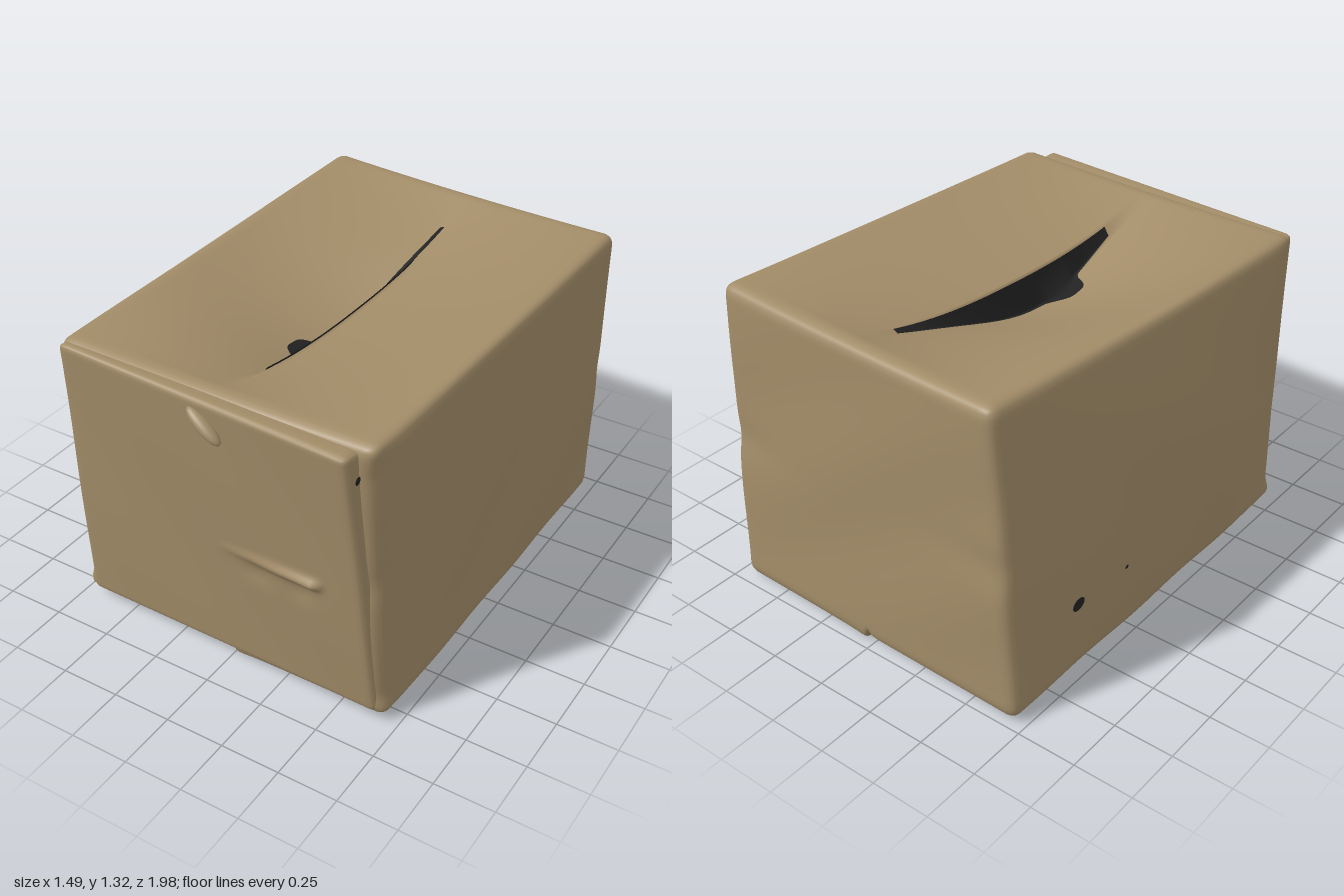
import * as THREE from 'three';
import { mergeVertices } from 'three/addons/utils/BufferGeometryUtils.js';

const clamp = THREE.MathUtils.clamp;
const lerp = THREE.MathUtils.lerp;
const NX = 64; // columns across the box; the seam lies on the middle one

// Blend eight corners, ordered back -x, back +x, front -x, front +x
function blend(low, high, u, v, w) {
  const a = (u + 1) / 2, b = (v + 1) / 2, c = (w + 1) / 2;
  const mix = (q, i) => lerp(lerp(q[0][i], q[1][i], a), lerp(q[2][i], q[3][i], a), c);
  return new THREE.Vector3(...[0, 1, 2].map((i) => lerp(mix(low, i), mix(high, i), b)));
}

// Box with rounded edges whose points (u, v, w in -1..1) are placed by a rule
function softBox(half, radius, segs, place) {
  let geo = new THREE.BoxGeometry(half.x * 2, half.y * 2, half.z * 2, ...segs);
  geo.deleteAttribute('uv');
  geo.deleteAttribute('normal');
  geo = mergeVertices(geo, 1e-5);
  const pos = geo.attributes.position;
  const p = new THREE.Vector3(), inner = new THREE.Vector3();
  const limit = half.clone().subScalar(radius), negative = limit.clone().negate();
  for (let i = 0; i < pos.count; i++) {
    p.fromBufferAttribute(pos, i);
    inner.copy(p).clamp(negative, limit);
    p.sub(inner).setLength(radius).add(inner).divide(half);
    const q = place(p.x, p.y, p.z);
    pos.setXYZ(i, q.x, q.y, q.z);
  }
  geo.computeVertexNormals();
  return geo;
}

const bottom = [[-0.725, 0.025, -0.99], [0.715, 0.012, -0.96], [-0.735, 0.04, 0.835], [0.715, 0.03, 0.85]];
const top = [[-0.63, 1.322, -0.99], [0.75, 1.315, -0.895], [-0.685, 1.265, 0.89], [0.70, 1.285, 0.92]];

// Crushed carton: bulging walls, sagging top flaps, grooved bottom
function carton(u0, v, w) {
  const u = u0 + (0.03 - 0.006 * w) * (1 - Math.abs(u0));
  const p = blend(bottom, top, u, v, w);
  const mid = 1 - v * v;
  const onTop = clamp((v - 0.8) / 0.2, 0, 1);
  const under = clamp((-v - 0.85) / 0.15, 0, 1);
  p.x += u * mid * (1 - w * w) * (u < 0 ? 0.045 : 0.012);
  p.x += 0.004 * u * mid * Math.sin(5 * w + 4 * v);
  p.z += 0.006 * w * mid * Math.sin(4 * u + 5 * v);
  // side walls turning in towards the front
  p.x -= u * 0.035 * clamp((w - 0.8) / 0.2, 0, 1) ** 2 * (1 - onTop) * (1 - under);
  // pinched corner posts
  p.z -= 0.012 * w * Math.exp(-((v / 0.12) ** 2)) * Math.abs(u) ** 3;
  // top flaps: the -x one has dropped below the +x one
  const along = Math.max(0, 1 - Math.abs(w / 0.93) ** 2.4);
  const drop = 0.02 + 0.125 * Math.exp(-(((w - 0.13) / 0.5) ** 2));
  const step = clamp(-u0 * NX / 2, 0, 1);
  p.y -= onTop * along * (1 - Math.abs(u0)) * (0.115 + drop * step);
  p.y -= onTop * 0.01 * (1 - u * u);
  // bottom flaps meeting in a groove
  p.y += under * 0.03 * Math.exp(-((u0 / 0.022) ** 2));
  if (u0 > 0) p.y -= under * (0.01 * (1 - u0) + 0.015 * Math.exp(-u0 / 0.1));
  p.y += under * 0.006 * Math.sin(9 * w) * Math.abs(u0);
  return p;
}

// Front panel leaning away from the carton at its upper +x corner
const panelLow = [[-0.68, 0.05, 0.75], [0.66, 0.05, 0.75], [-0.69, 0.05, 0.84], [0.675, 0.05, 0.857]];
const panelHigh = [[-0.66, 1.25, 0.83], [0.63, 1.25, 0.85], [-0.67, 1.26, 0.905], [0.625, 1.27, 0.995]];
function panel(u, v, w) {
  const p = blend(panelLow, panelHigh, u, v, w);
  p.z += 0.004 * (1 - v * v) * Math.sin(4 * u + 3 * v);
  if (w > 0) {
    // raised crease growing towards +x, with dents beneath it
    const grow = clamp(p.x / 0.45, 0, 1) * clamp((0.485 - p.x) / 0.03, 0, 1);
    const height = p.y - (0.605 + 0.03 * p.x);
    p.z += 0.028 * grow * Math.exp(-((height / 0.024) ** 2));
    const dent = Math.exp(-(((p.x - 0.18) / 0.07) ** 2)) + Math.exp(-(((p.x - 0.38) / 0.06) ** 2));
    p.z -= 0.008 * dent * Math.exp(-(((height + 0.07) / 0.05) ** 2));
  }
  return p;
}

// Dark opening lying along the dropped flap's edge
function gapGeometry() {
  const rows = 90, verts = [], index = [];
  for (let i = 0; i <= rows; i++) {
    const t = i / rows, w = lerp(-0.72, 0.64, t);
    const width = 0.05 * Math.sin(Math.PI * t) + 0.13 * Math.exp(-(((w - 0.26) / 0.095) ** 4));
    const edge = -2 / NX;
    for (const u of [0, edge, edge - width / 2, edge - width]) {
      const p = carton(u, 1, w);
      verts.push(p.x - 0.003, p.y + 0.005, p.z);
    }
    if (i < rows) {
      for (let k = 0; k < 3; k++) {
        const a = i * 4 + k;
        index.push(a, a + 1, a + 4, a + 1, a + 5, a + 4);
      }
    }
  }
  const geo = new THREE.BufferGeometry();
  geo.setAttribute('position', new THREE.Float32BufferAttribute(verts, 3));
  geo.setIndex(index);
  geo.computeVertexNormals();
  return geo;
}

export function createModel() {
  const group = new THREE.Group();
  const cardboard = new THREE.MeshStandardMaterial({ color: 0xa28c68 });
  cardboard.name = 'cardboard';
  const dark = new THREE.MeshStandardMaterial({ color: 0x222222, side: THREE.DoubleSide });
  dark.name = 'dark opening';
  const add = (name, geo, mat) => {
    const mesh = new THREE.Mesh(geo, mat);
    mesh.name = name;
    group.add(mesh);
    return mesh;
  };

  add('cartonBody', softBox(new THREE.Vector3(0.7, 0.64, 0.94), 0.045, [NX, 56, 84], carton), cardboard);
  add('frontPanel', softBox(new THREE.Vector3(0.65, 0.6, 0.05), 0.025, [64, 120, 6], panel), cardboard);
  add('topGap', gapGeometry(), dark);

  // Torn tab near the top of the front
  const tab = add('tornTab', new THREE.SphereGeometry(1, 24, 16), cardboard);
  tab.scale.set(0.09, 0.026, 0.03);
  tab.position.set(0.025, 1.17, 0.955);
  tab.rotation.set(0, -0.15, -0.58);

  // Small punctures in the -x wall
  for (const [v, w, r] of [[-0.5, -0.6, 0.036], [-0.5, -0.28, 0.011]]) {
    const hole = add('puncture', new THREE.CircleGeometry(r, 16), dark);
    hole.position.copy(carton(-1, v, w));
    hole.position.x -= 0.005;
    hole.rotation.y = -Math.PI / 2;
    hole.scale.y = 0.75;
  }

  // Small opening between the front panel and the +x wall
  const cornerHole = add('cornerHole', new THREE.CircleGeometry(0.016, 16), dark);
  cornerHole.position.copy(panel(1, 0.82, 0.3));
  cornerHole.position.x += 0.005;
  cornerHole.position.z = 0.93;
  cornerHole.rotation.y = Math.PI / 2;
  return group;
}
